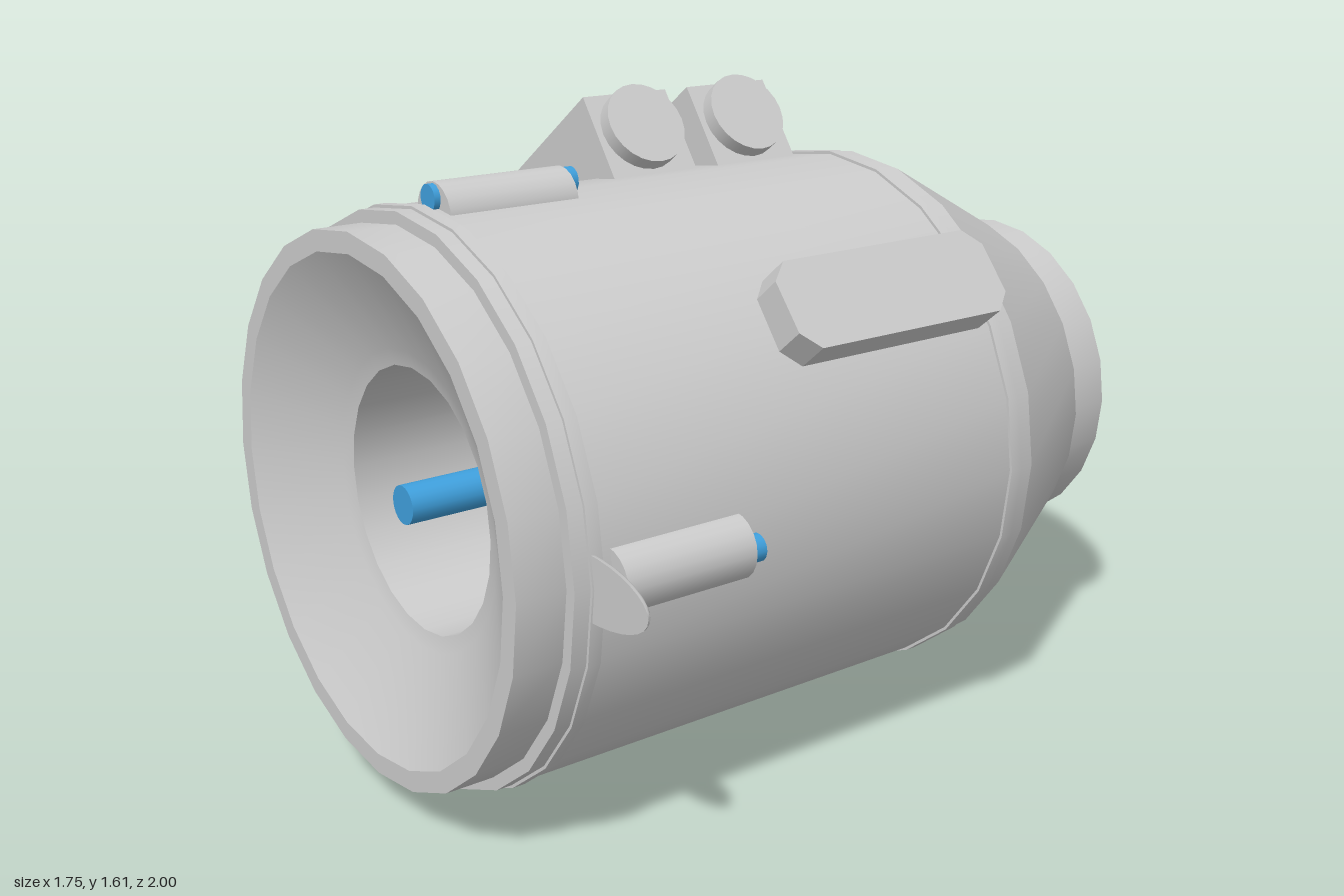
import * as THREE from 'three';
import { toCreasedNormals } from 'three/addons/utils/BufferGeometryUtils.js';

const AXIS_Y = 0.74;
const grey = new THREE.MeshStandardMaterial({ color: 0xcccccc });
const blue = new THREE.MeshStandardMaterial({ color: 0x3fa0dd });

function add(parent, name, geometry, x = 0, y = 0, z = 0, material = grey) {
  const mesh = new THREE.Mesh(geometry, material);
  mesh.name = name;
  mesh.position.set(x, y, z);
  parent.add(mesh);
  return mesh;
}

// Group on the body axis whose local +y points outward at the given roll angle
function mount(parent, name, degrees) {
  const group = new THREE.Group();
  group.name = name;
  group.position.y = AXIS_Y;
  group.rotation.z = THREE.MathUtils.degToRad(degrees);
  parent.add(group);
  return group;
}

// Cylinder lying along z
const rod = (radius, length, sides) =>
  new THREE.CylinderGeometry(radius, radius, length, sides).rotateX(Math.PI / 2);

// Revolved [radius, z] profile around the z axis
function revolve(profile) {
  const points = profile.map(([r, z]) => new THREE.Vector2(r, z));
  return toCreasedNormals(new THREE.LatheGeometry(points, 24).rotateX(Math.PI / 2), 0.4);
}

// Flat front, domed back, pointing outward along +y
function finGeometry() {
  const geometry = new THREE.SphereGeometry(1, 24, 16);
  const p = geometry.attributes.position;
  for (let i = 0; i < p.count; i++) p.setZ(i, Math.min(p.getZ(i), 0));
  return toCreasedNormals(geometry.scale(0.075, 0.215, 0.04), 0.5);
}

// Plate with chamfered corners, lying in the local x-z plane
function plateGeometry(width, length, height, c) {
  const w = width / 2, l = length / 2;
  const corners = [[w, -l + c], [w, l - c], [w - c, l], [-w + c, l],
    [-w, l - c], [-w, -l + c], [-w + c, -l], [w - c, -l]];
  const shape = new THREE.Shape(corners.map(([x, y]) => new THREE.Vector2(x, y)));
  return new THREE.ExtrudeGeometry(shape, { depth: height, bevelEnabled: false })
    .rotateX(-Math.PI / 2);
}

export function createModel() {
  const model = new THREE.Group();
  model.name = 'cylindricalModule';
  const body = mount(model, 'body', 0);

  // Hollow shell: rear neck, cone, barrel, front lip, funnel and bore
  add(body, 'shell', revolve([
    [0.43, -1], [0.43, -0.85], [0.47, -0.85], [0.68, -0.455], [0.68, 0.88], [0.65, 0.88],
    [0.65, 1], [0.60, 1], [0.36, 0.87], [0.32, 0.86], [0.32, -0.85], [0.327, -0.85],
    [0.327, -1], [0.43, -1],
  ]));

  // Raised bands
  for (const [name, z] of [['frontBand', 0.825], ['rearBand', -0.395]]) {
    add(body, name, revolve([
      [0.67, z - 0.016], [0.687, z - 0.016], [0.687, z + 0.016], [0.67, z + 0.016],
    ]));
  }

  // Rod along the middle of the bore
  add(body, 'coreRod', rod(0.047, 1.7, 20), 0, 0, 0.05, blue);

  // Four pin housings around the barrel, with fins on the two sides
  for (const angle of [0, 90, 180, 270]) {
    const housing = mount(model, 'pinHousing', angle);
    add(housing, 'sleeve', rod(0.076, 0.335, 20), 0, 0.66, 0.6175);
    add(housing, 'pin', rod(0.032, 0.38, 14), 0, 0.7, 0.61, blue);
    if (angle % 180) add(housing, 'fin', finGeometry(), 0, 0.66, 0.837);
  }

  // Two boxes with a round cap on their upper ends
  const boxes = mount(model, 'sideBoxes', 35.5);
  for (const z of [0.107, -0.212]) {
    add(boxes, 'box', new THREE.BoxGeometry(0.6, 0.25, 0.25), 0.01, 0.7, z);
    const cap = add(boxes, 'roundCap', new THREE.CylinderGeometry(0.108, 0.108, 0.04, 24), 0.33, 0.72, z);
    cap.rotation.z = Math.PI / 2;
  }

  // Chamfered plate on the other shoulder
  const shoulder = mount(model, 'shoulderPlate', -50.5);
  add(shoulder, 'plate', plateGeometry(0.22, 0.64, 0.12, 0.045), 0, 0.64, -0.07);

  return model;
}
